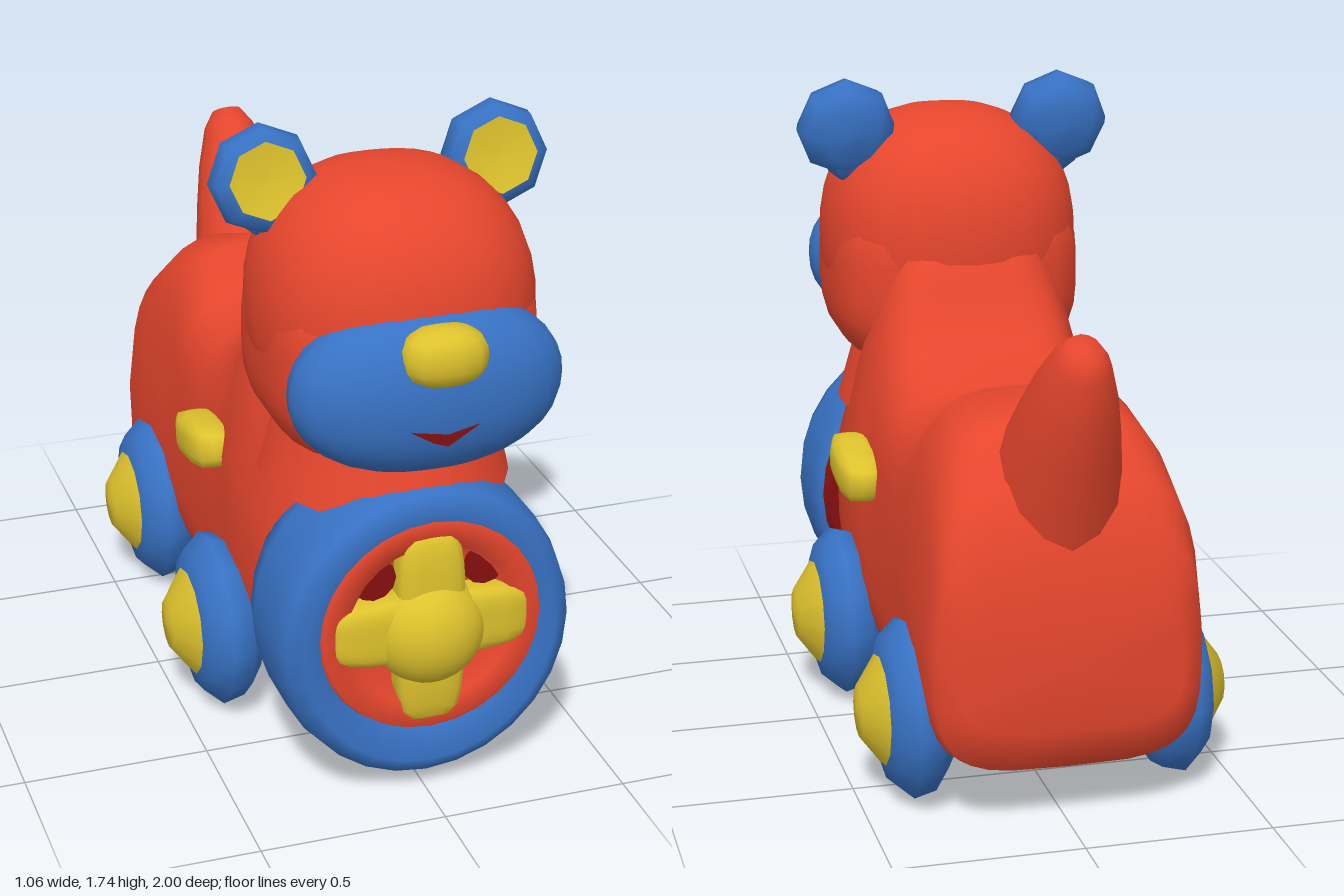
import * as THREE from 'three';

const paint = (name, color) => {
  const m = new THREE.MeshStandardMaterial({ color });
  m.name = name;
  return m;
};

export function createModel() {
  const toy = new THREE.Group();
  toy.name = 'rollingBearToy';
  const red = paint('red', 0xe6462d);
  const blue = paint('blue', 0x3872c4);
  const yellow = paint('yellow', 0xdec22d);
  const dark = paint('darkRed', 0x86100f);

  const add = (name, geo, mat, pos = [0, 0, 0], rot = [0, 0, 0], parent = toy) => {
    const mesh = new THREE.Mesh(geo, mat);
    mesh.name = name;
    mesh.position.set(...pos);
    mesh.rotation.set(...rot);
    parent.add(mesh);
    return mesh;
  };

  // Sphere squared off by a p-norm, then scaled
  const blob = (rx, ry, rz, p = 2, w = 28, h = 18) => {
    const g = new THREE.SphereGeometry(1, w, h);
    const a = g.attributes.position;
    for (let i = 0; i < a.count; i++) {
      const v = [a.getX(i), a.getY(i), a.getZ(i)];
      const k = v.reduce((s, c) => s + Math.abs(c) ** p, 0) ** (-1 / p);
      a.setXYZ(i, v[0] * k * rx, v[1] * k * ry, v[2] * k * rz);
    }
    g.computeVertexNormals();
    return g;
  };
  const turned = (pts, seg) =>
    new THREE.LatheGeometry(pts.map(([r, y]) => new THREE.Vector2(r, y)), seg);

  // Body: rounded sections along z [z, half width, bottom, top, taper toward top]
  const sections = [
    [0.62, 0.27, 0.22, 0.98, 0.3], [0.56, 0.33, 0.16, 1.12, 0.38],
    [0.3, 0.36, 0.15, 1.32, 0.36], [0.2, 0.36, 0.15, 1.32, 0.34],
    [0.14, 0.36, 0.15, 1.2, 0.3], [0.05, 0.36, 0.15, 1.06, 0.2],
    [-0.1, 0.355, 0.15, 0.975, 0.08], [-0.32, 0.355, 0.15, 0.98, 0.08],
    [-0.45, 0.36, 0.15, 1.08, 0.18], [-0.64, 0.37, 0.15, 1.04, 0.18],
    [-0.78, 0.365, 0.15, 0.92, 0.1], [-0.845, 0.35, 0.17, 0.8, 0.08],
    [-0.88, 0.29, 0.28, 0.62, 0.05],
  ];
  const N = 32, verts = [], faces = [];
  const squash = c => Math.sign(c) * Math.abs(c) ** 0.5;
  for (const [z, w, yb, yt, taper] of sections) {
    for (let i = 0; i < N; i++) {
      const t = (i / N) * Math.PI * 2;
      const v = squash(Math.sin(t));
      const narrow = 1 - taper * Math.max(0, v);
      verts.push(w * narrow * squash(Math.cos(t)), (yb + yt) / 2 + v * (yt - yb) / 2, z);
    }
  }
  for (let s = 0; s < sections.length - 1; s++) {
    for (let i = 0; i < N; i++) {
      const a = s * N + i, b = s * N + (i + 1) % N;
      faces.push(a, a + N, b, b, a + N, b + N);
    }
  }
  // End caps
  [0, sections.length - 1].forEach((s, end) => {
    const [z, , yb, yt] = sections[s];
    const c = verts.length / 3;
    verts.push(0, (yb + yt) / 2, z);
    for (let i = 0; i < N; i++) {
      const a = s * N + i, b = s * N + (i + 1) % N;
      if (end) faces.push(c, b, a); else faces.push(c, a, b);
    }
  });
  const bodyGeo = new THREE.BufferGeometry();
  bodyGeo.setAttribute('position', new THREE.Float32BufferAttribute(verts, 3));
  bodyGeo.setIndex(faces);
  bodyGeo.computeVertexNormals();
  add('body', bodyGeo, red);

  // Neck and tail
  add('neck', new THREE.CylinderGeometry(0.26, 0.33, 0.25, 28), red, [0, 0.925, 0.47])
    .scale.set(1, 1, 1.15);
  add('tail', turned([[0.21, -0.06], [0.18, 0.08], [0.155, 0.2], [0.125, 0.32], [0.085, 0.43],
    [0.05, 0.475], [0, 0.485]], 14), red, [0, 0.9, -0.7], [-0.55, 0, 0])
    .scale.x = 0.85;

  // Head with a full jaw, muzzle, nose and mouth
  add('head', blob(0.365, 0.37, 0.355, 2.35), red, [0, 1.28, 0.52]);
  add('jaw', blob(0.357, 0.27, 0.33, 3.3), red, [0, 1.18, 0.52]);
  add('muzzle', blob(0.357, 0.222, 0.17, 2.2), blue, [0, 1.16, 0.8]);
  add('nose', blob(0.11, 0.075, 0.075, 2.6, 14, 10), yellow, [0, 1.287, 0.925]);
  const smile = new THREE.Shape();
  smile.moveTo(-0.1, 1.112);
  smile.lineTo(-0.04, 1.075);
  smile.lineTo(0, 1.06);
  smile.lineTo(0.085, 1.112);
  smile.lineTo(0, 1.093);
  add('mouth', new THREE.ShapeGeometry(smile), dark, [0, 0, 0.968]);

  // Ears
  const earShell = turned([[0, -0.08], [0.08, -0.075], [0.125, -0.04], [0.142, 0.01],
    [0.132, 0.055], [0.1, 0.07]], 8);
  const earPad = turned([[0.1, 0.07], [0.05, 0.062], [0, 0.06]], 8);
  for (const s of [1, -1]) {
    const ear = new THREE.Group();
    ear.name = s > 0 ? 'leftEar' : 'rightEar';
    ear.position.set(s * 0.31, 1.605, 0.425);
    ear.rotation.set(Math.PI / 2 - 0.2, 0, 0);
    add('earShell', earShell, blue, [0, 0, 0], [0, 0, 0], ear);
    add('earPad', earPad, yellow, [0, 0, 0], [0, 0, 0], ear);
    add('earRoot', blob(0.09, 0.055, 0.1, 2, 10, 8), blue, [-s * 0.02, -0.01, 0.06],
      [0, 0, 0], ear);
    toy.add(ear);
  }

  // Large front drum with a recessed face and a cross-shaped knob
  const facing = [Math.PI / 2, 0, 0];
  add('drumRim', turned([[0, 0.54], [0.33, 0.53], [0.385, 0.55], [0.4, 0.62], [0.4, 0.78],
    [0.385, 0.85], [0.34, 0.882], [0.25, 0.85], [0.2, 0.79], [0, 0.79]], 28),
  blue, [0, 0.47, 0], facing).scale.z = 1.05;
  add('drumFace', turned([[0.305, 0.85], [0.295, 0.88], [0.23, 0.873], [0.2, 0.825], [0, 0.82]], 28),
    red, [0, 0.51, 0], facing);
  add('drumSeam', new THREE.CylinderGeometry(0.375, 0.36, 0.02, 28), dark, [0, 0.49, 0.53], facing);
  add('knobArmAcross', blob(0.27, 0.092, 0.06, 4.5), yellow, [0, 0.505, 0.84]);
  add('knobArmUpright', blob(0.092, 0.27, 0.06, 4.5), yellow, [0, 0.5, 0.84]);
  add('knobDome', blob(0.15, 0.15, 0.12), yellow, [0, 0.49, 0.845]);
  for (const s of [1, -1]) {
    add('drumSlot', new THREE.CircleGeometry(0.06, 12), dark, [s * 0.15, 0.655, 0.852]);
  }

  // Wheels and side pegs
  const tyre = turned([[0, 0.29], [0.17, 0.3], [0.225, 0.34], [0.24, 0.4], [0.195, 0.45],
    [0.148, 0.465]], 12);
  const hub = turned([[0.148, 0.465], [0.07, 0.522], [0, 0.53]], 12);
  for (const s of [1, -1]) {
    const side = s > 0 ? 'left' : 'right';
    for (const [place, z, inset] of [['Front', 0.21, 0], ['Rear', -0.55, 0.03]]) {
      const wheel = new THREE.Group();
      wheel.name = side + place + 'Wheel';
      wheel.position.set(-s * inset, 0.25, z);
      wheel.rotation.z = -s * Math.PI / 2;
      add('tyre', tyre, blue, [0, 0, 0], [0, 0, 0], wheel);
      add('hub', hub, yellow, [0, 0, 0], [0, 0, 0], wheel);
      toy.add(wheel);
    }
    add(side + 'Peg', blob(0.065, 0.06, 0.145, 4, 14, 10), yellow,
      [s * 0.365, 0.725, 0.06], [-0.15, 0, 0]);
  }
  return toy;
}
